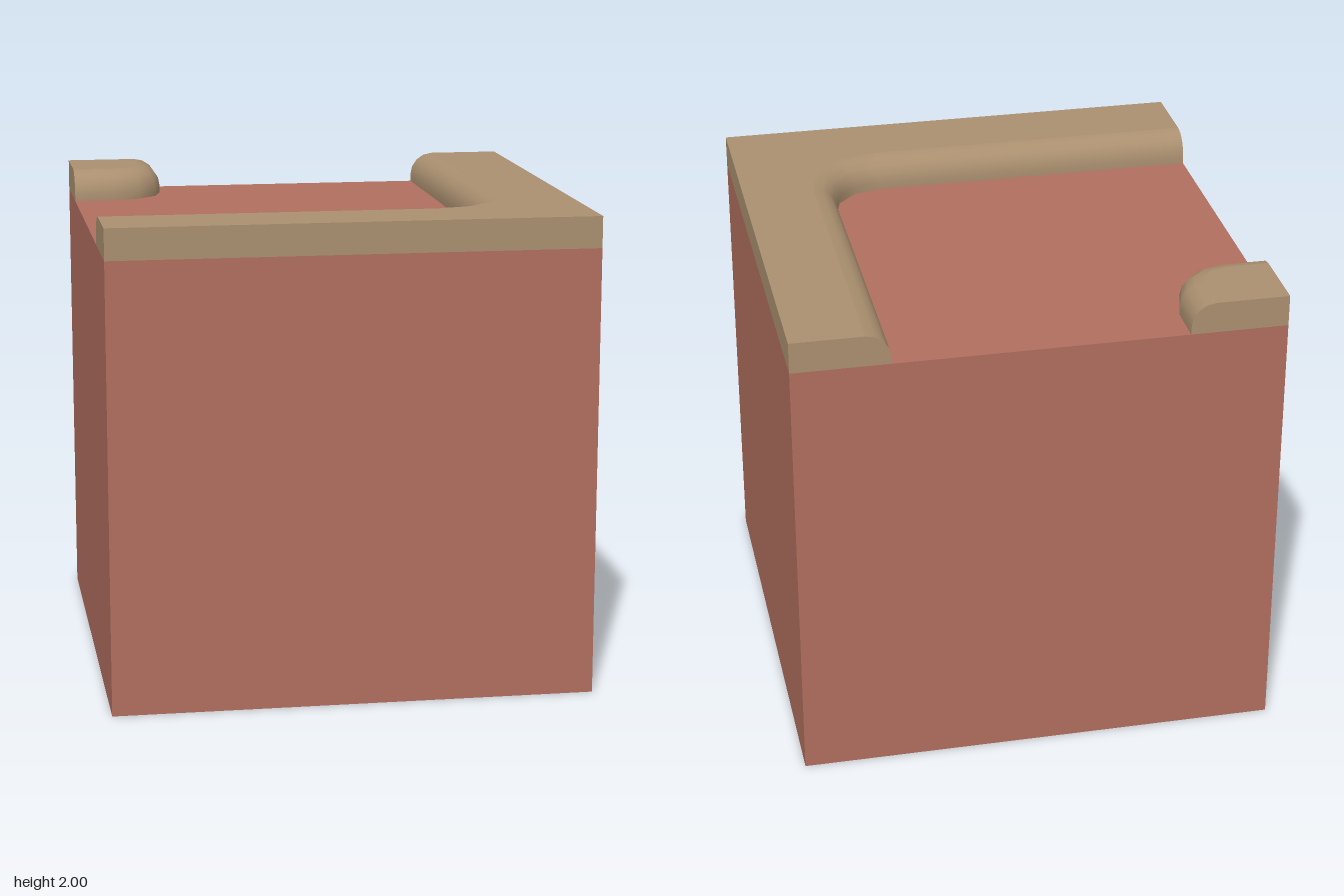
import * as THREE from 'three';
import { toCreasedNormals } from 'three/addons/utils/BufferGeometryUtils.js';

const BASE = 1.87; // top of the block, where the raised rim starts
const TOP = 2;
const FILLET = 0.1;

const clay = new THREE.MeshStandardMaterial({ color: 0xb16f5f });
clay.name = 'clay red';
const sand = new THREE.MeshStandardMaterial({ color: 0xab9070 });
sand.name = 'sand brown';

// Points of a quarter circle between two angles, in three straight steps
function arc(cx, cy, r, from, to) {
  const pts = [];
  for (let i = 0; i <= 3; i++) {
    const a = from + ((to - from) * i) / 3;
    pts.push(new THREE.Vector2(cx + r * Math.cos(a), cy + r * Math.sin(a)));
  }
  return pts;
}
const p = (x, y) => new THREE.Vector2(x, y);

// Plan outlines (x, -z), counter-clockwise; d pulls the inner edge back
const rimOutline = (d) => [
  p(-1, -1), p(1, -1), p(1, 1), p(0.6 + d, 1),
  ...arc(0.38, -0.38, 0.22 + d, 0, -Math.PI / 2),
  p(-1, -0.6 - d),
];
const cornerOutline = (d) => [
  p(-1, 1), p(-1, 0.6 + d),
  ...arc(-0.82, 0.82, 0.22 - d, -Math.PI / 2, 0),
  p(-0.6 - d, 1),
];

// Raised slab: stacked outlines with a rounded inner edge, closed by a flat top
function raisedPart(name, outline) {
  const levels = [[0, BASE]];
  for (let i = 0; i <= 4; i++) {
    const a = (i / 4) * Math.PI / 2;
    levels.push([FILLET * (1 - Math.cos(a)), TOP - FILLET + FILLET * Math.sin(a)]);
  }
  const rings = levels.map(([d, y]) => outline(d).map((q) => [q.x, y, -q.y]));
  const pos = [];
  for (let k = 0; k < rings.length - 1; k++) {
    const lo = rings[k], hi = rings[k + 1];
    for (let i = 0; i < lo.length; i++) {
      const j = (i + 1) % lo.length;
      pos.push(...lo[i], ...lo[j], ...hi[j], ...lo[i], ...hi[j], ...hi[i]);
    }
  }
  const walls = new THREE.BufferGeometry();
  walls.setAttribute('position', new THREE.Float32BufferAttribute(pos, 3));
  const sides = new THREE.Mesh(toCreasedNormals(walls, 0.9), sand);
  sides.name = name + 'Sides';

  const cap = new THREE.ShapeGeometry(new THREE.Shape(outline(FILLET)));
  cap.rotateX(-Math.PI / 2).translate(0, TOP, 0);
  const top = new THREE.Mesh(cap, sand);
  top.name = name + 'Top';

  const part = new THREE.Group();
  part.name = name;
  part.add(sides, top);
  return part;
}

export function createModel() {
  const model = new THREE.Group();
  model.name = 'rimmedBlock';

  const block = new THREE.Mesh(new THREE.BoxGeometry(2, BASE, 2), clay);
  block.name = 'block';
  block.position.y = BASE / 2;
  model.add(block);

  // L-shaped rim along the front and left, and the small pad in the opposite corner
  model.add(raisedPart('rim', rimOutline));
  model.add(raisedPart('cornerPad', cornerOutline));
  return model;
}
